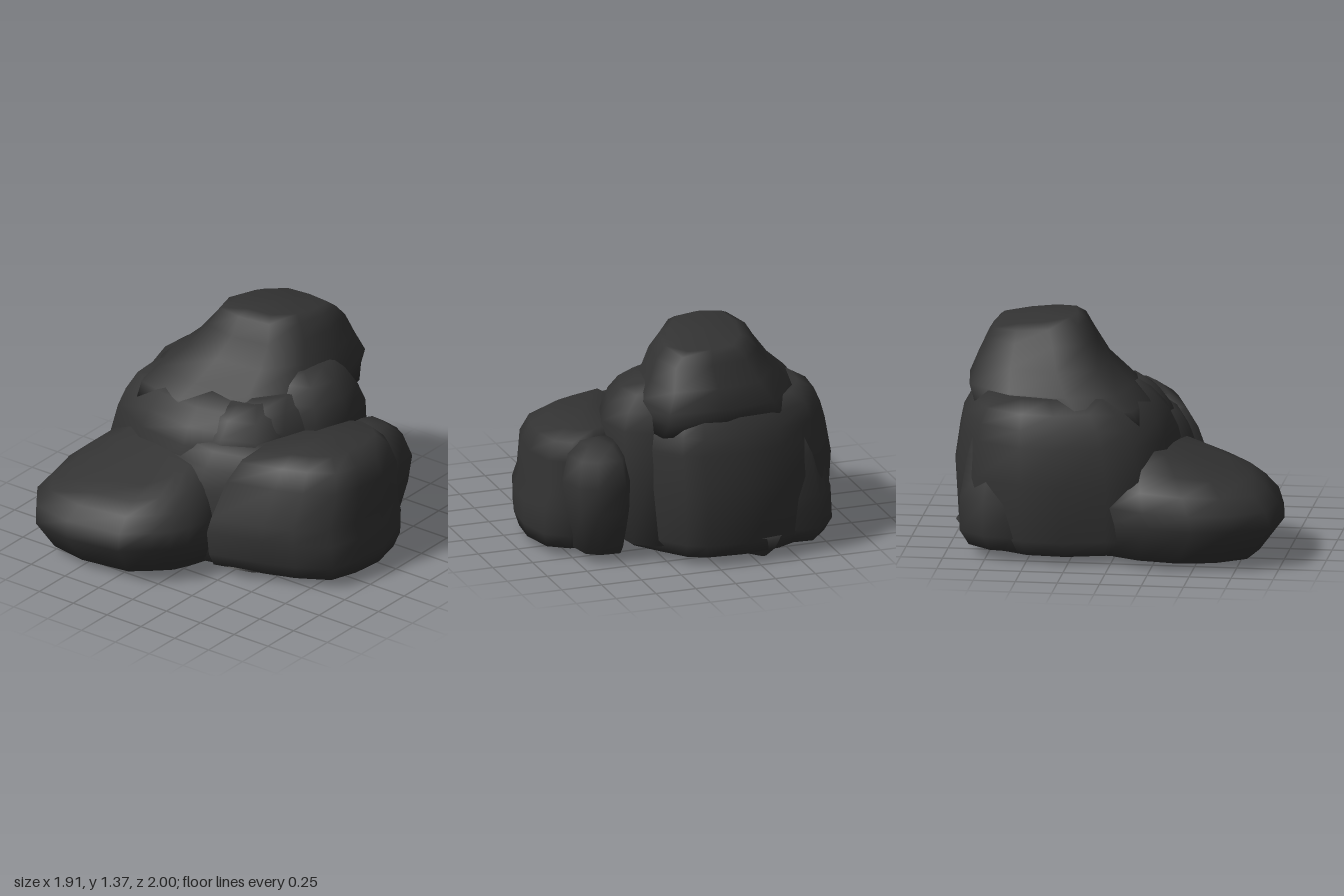
import * as THREE from 'three';

const stone = new THREE.MeshStandardMaterial({ color: 0x333333, roughness: 1 });

// Outlines seen from above as [x, z], clockwise
const MAIN = [[-0.8, 0.18], [-0.81, -0.02], [-0.88, -0.28], [-0.86, -0.53], [-0.7, -0.82], [-0.42, -0.96],
  [-0.17, -1], [0.09, -0.98], [0.21, -0.92], [0.34, -0.76], [0.46, -0.6], [0.5, -0.3], [0.38, 0.06],
  [0.22, 0.28], [-0.15, 0.38], [-0.5, 0.34]];
const CROWN = [[-1, 0.3], [-0.85, -0.4], [-0.45, -0.92], [0.2, -1], [0.85, -0.93], [1, -0.3], [0.9, 0.35],
  [0.5, 0.88], [-0.2, 1], [-0.8, 0.88]];
const FRONT = [[-0.96, 0.5], [-0.91, 0.22], [-0.8, 0], [-0.4, -0.1], [0, 0], [0.14, 0.28], [0.17, 0.5],
  [0.13, 0.63], [0.08, 0.74], [0, 0.82], [-0.15, 0.95], [-0.5, 1], [-0.77, 0.95], [-0.91, 0.75]];
const SIDE = [[0.1, 0.3], [0.2, -0.1], [0.38, -0.43], [0.62, -0.55], [0.78, -0.52], [0.9, -0.43], [0.95, -0.2],
  [0.93, 0.02], [0.87, 0.21], [0.68, 0.33], [0.5, 0.4], [0.17, 0.5]];
const PEBBLE = [[-1, 0.2], [-0.9, -0.5], [-0.55, -1], [0.3, -0.95], [0.8, -0.7], [1, 0.05], [0.75, 0.75],
  [0.1, 1], [-0.6, 0.85]];

// Lofts an outline through layers [y, x0, x1, z0, z1, rise towards the back]
function boulder(name, outline, layers) {
  const xs = outline.map(p => p[0]), zs = outline.map(p => p[1]);
  const [ax, bx, az, bz] = [Math.min(...xs), Math.max(...xs), Math.min(...zs), Math.max(...zs)];
  const n = outline.length, pos = [], index = [];
  for (const [y, x0, x1, z0, z1, rise = 0] of layers) {
    for (const [px, pz] of outline) {
      const u = (px - ax) / (bx - ax), w = (pz - az) / (bz - az);
      pos.push(x0 + u * (x1 - x0), y + rise * (1 - w), z0 + w * (z1 - z0));
    }
  }
  layers.slice(1).forEach((_, j) => {
    for (let i = 0; i < n; i++) {
      const a = j * n + i, b = j * n + (i + 1) % n;
      index.push(a, a + n, b, b, a + n, b + n);
    }
  });
  // Close the bottom and top with fans
  for (const j of [0, layers.length - 1]) {
    const [y, x0, x1, z0, z1, rise = 0] = layers[j], c = pos.length / 3;
    pos.push((x0 + x1) / 2, y + rise / 2 + (j ? 0.015 : 0), (z0 + z1) / 2);
    for (let i = 0; i < n; i++) {
      const a = j * n + i, b = j * n + (i + 1) % n;
      index.push(c, ...(j ? [b, a] : [a, b]));
    }
  }
  const geo = new THREE.BufferGeometry();
  geo.setAttribute('position', new THREE.Float32BufferAttribute(pos, 3));
  geo.setIndex(index);
  geo.computeVertexNormals();
  const mesh = new THREE.Mesh(geo, stone);
  mesh.name = name;
  return mesh;
}

export function createModel() {
  const rock = new THREE.Group();
  rock.name = 'rockFormation';
  rock.add(
    // Wide lower mass
    boulder('mainBoulder', MAIN, [
      [0.05, -0.82, 0.42, -0.92, 0.34], [0.14, -0.86, 0.46, -0.98, 0.36], [0.48, -0.88, 0.48, -1, 0.38],
      [0.7, -0.84, 0.48, -0.97, 0.32], [0.8, -0.81, 0.46, -0.95, 0.27], [0.89, -0.77, 0.42, -0.9, 0.18],
      [0.96, -0.66, 0.36, -0.86, 0.06]]),
    // Broad crown, dipping towards the back
    boulder('crown', CROWN, [
      [0.8, -0.72, 0.38, -0.86, 0.22], [0.89, -0.72, 0.36, -0.9, 0.17], [0.97, -0.65, 0.36, -0.93, 0.07],
      [1.09, -0.52, 0.3, -0.88, -0.07], [1.22, -0.42, 0.26, -0.82, -0.16],
      [1.33, -0.36, 0.2, -0.79, -0.22, -0.06], [1.365, -0.29, 0.15, -0.76, -0.28, -0.07]]),
    // Low domed slab sloping down to the front
    boulder('frontSlab', FRONT, [
      [0.05, -0.89, 0.1, -0.1, 0.85], [0.25, -0.94, 0.17, -0.1, 1], [0.35, -0.96, 0.16, -0.1, 0.97],
      [0.43, -0.89, 0.12, -0.1, 0.89, 0.04], [0.49, -0.78, 0.06, -0.1, 0.8, 0.12],
      [0.53, -0.6, -0.04, -0.1, 0.65, 0.22]]),
    // Fill between the slab, the side block and the main mass
    boulder('saddle', PEBBLE, [
      [0.06, -0.6, 0.6, -0.3, 0.45], [0.3, -0.6, 0.6, -0.3, 0.45], [0.48, -0.6, 0.55, -0.3, 0.43],
      [0.63, -0.5, 0.52, -0.3, 0.37], [0.72, -0.42, 0.48, -0.3, 0.31], [0.77, -0.3, 0.4, -0.3, 0.22]]),
    // Flat-topped block on the left flank
    boulder('sideBlock', SIDE, [
      [0.05, 0.1, 0.92, -0.5, 0.43], [0.14, 0.1, 0.95, -0.54, 0.48], [0.29, 0.1, 0.95, -0.55, 0.5],
      [0.38, 0.12, 0.92, -0.55, 0.48], [0.6, 0.17, 0.92, -0.53, 0.39], [0.71, 0.22, 0.87, -0.5, 0.31],
      [0.77, 0.3, 0.78, -0.45, 0.2]]),
    boulder('cornerStone', PEBBLE, [
      [0.06, 0.45, 0.74, -0.68, -0.3], [0.33, 0.42, 0.8, -0.75, -0.3], [0.5, 0.42, 0.82, -0.77, -0.3],
      [0.65, 0.44, 0.78, -0.71, -0.32], [0.72, 0.5, 0.7, -0.62, -0.38]]),
    boulder('frontLedge', PEBBLE, [
      [0.6, -0.35, 0.42, -0.35, 0.33], [0.78, -0.25, 0.36, -0.35, 0.25], [0.87, -0.18, 0.3, -0.35, 0.18],
      [0.94, -0.08, 0.22, -0.35, 0.08]]),
    boulder('shoulderStone', PEBBLE, [
      [0.1, 0, 0.48, -0.77, -0.08], [0.6, 0, 0.53, -0.76, -0.08], [0.8, 0, 0.53, -0.74, -0.1],
      [0.91, 0, 0.49, -0.7, -0.13], [1.0, 0, 0.42, -0.65, -0.2], [1.06, 0, 0.33, -0.6, -0.26]]),
    boulder('backCornerStone', PEBBLE, [
      [0.06, -0.78, -0.1, -0.86, -0.3], [0.15, -0.82, -0.1, -0.91, -0.3], [0.35, -0.81, -0.1, -0.91, -0.3],
      [0.6, -0.74, -0.15, -0.87, -0.3], [0.8, -0.66, -0.2, -0.82, -0.35]]),
    // Shallow knobs the rock stands on
    boulder('backFoot', PEBBLE, [[0, -0.34, -0.3, -0.86, -0.82], [0.055, -0.45, -0.1, -0.9, -0.65],
      [0.15, -0.5, 0.05, -0.97, -0.6]]),
    boulder('frontFoot', PEBBLE, [[0.01, 0.16, 0.21, 0.27, 0.32], [0.055, 0.07, 0.48, 0.1, 0.42]])
  );
  return rock;
}
